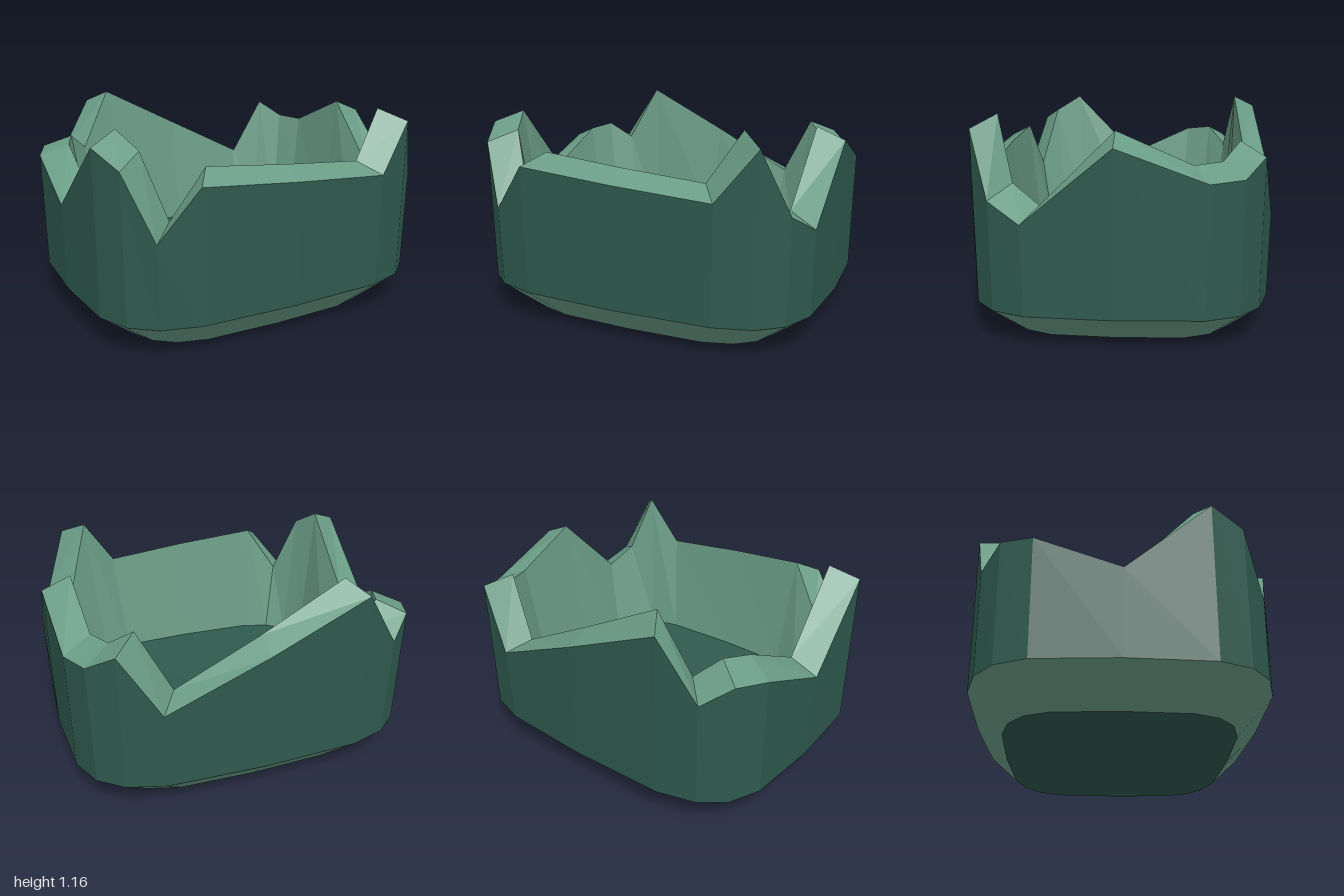
import * as THREE from 'three';

const SIDES = 20;
const DEPTH = 0.82;
const RIM_RISE = 0.065;

// Broken-edge heights, starting at +x and turning towards +z
const EDGE = [
  1.03, 0.65, 0.75, 1.09, 0.82, 0.86, 0.90, 0.63, 0.98, 1.07,
  0.67, 0.85, 0.87, 0.77, 1.10, 0.86, 0.62, 0.96, 0.87, 0.86,
];

// Rounded-rectangle ring at a given scale; height is a function of the corner
function ring(scale, height) {
  const root = (v) => Math.sign(v) * Math.sqrt(Math.abs(v));
  return EDGE.map((_, k) => {
    const a = (k / SIDES) * Math.PI * 2;
    const c = Math.abs(Math.cos(a)) < 1e-9 ? 0 : Math.cos(a);
    const s = Math.abs(Math.sin(a)) < 1e-9 ? 0 : Math.sin(a);
    return [root(c) * scale, height(k), root(s) * scale * DEPTH];
  });
}

// Flat-shaded band of faces joining two rings; a ring of scale 0 closes to a point
function band(name, from, to, material) {
  const pos = [];
  const tri = (a, b, c) => {
    const same = (p, q) => p.every((v, i) => Math.abs(v - q[i]) < 1e-9);
    if (!same(a, b) && !same(b, c) && !same(a, c)) pos.push(...a, ...b, ...c);
  };
  for (let k = 0; k < SIDES; k++) {
    const n = (k + 1) % SIDES;
    tri(from[k], to[k], to[n]);
    tri(from[k], to[n], from[n]);
  }
  const geometry = new THREE.BufferGeometry();
  geometry.setAttribute('position', new THREE.Float32BufferAttribute(pos, 3));
  geometry.computeVertexNormals();
  const mesh = new THREE.Mesh(geometry, material);
  mesh.name = name;
  return mesh;
}

export function createModel() {
  const dark = new THREE.MeshStandardMaterial({ color: 0x2f5a4e });
  dark.name = 'dark green';
  const light = new THREE.MeshStandardMaterial({ color: 0x6a9c86 });
  light.name = 'pale green';

  // Cross-section rings from the underside, up the outside and down the inside
  const underCentre = ring(0, () => 0);
  const foot = ring(0.77, () => 0);
  const shoulder = ring(0.99, () => 0.18);
  const outerEdge = ring(1, (k) => EDGE[k]);
  const innerEdge = ring(0.84, (k) => EDGE[k] + RIM_RISE);
  const floorEdge = ring(0.75, () => 0.28);
  const floorCentre = ring(0, () => 0.25);

  const group = new THREE.Group();
  group.name = 'brokenShell';
  group.add(
    band('underside', underCentre, foot, dark),
    band('lowerBevel', foot, shoulder, light),
    band('outerWall', shoulder, outerEdge, dark),
    band('brokenRim', outerEdge, innerEdge, light),
    band('innerWall', innerEdge, floorEdge, light),
    band('floor', floorEdge, floorCentre, dark),
  );
  return group;
}
